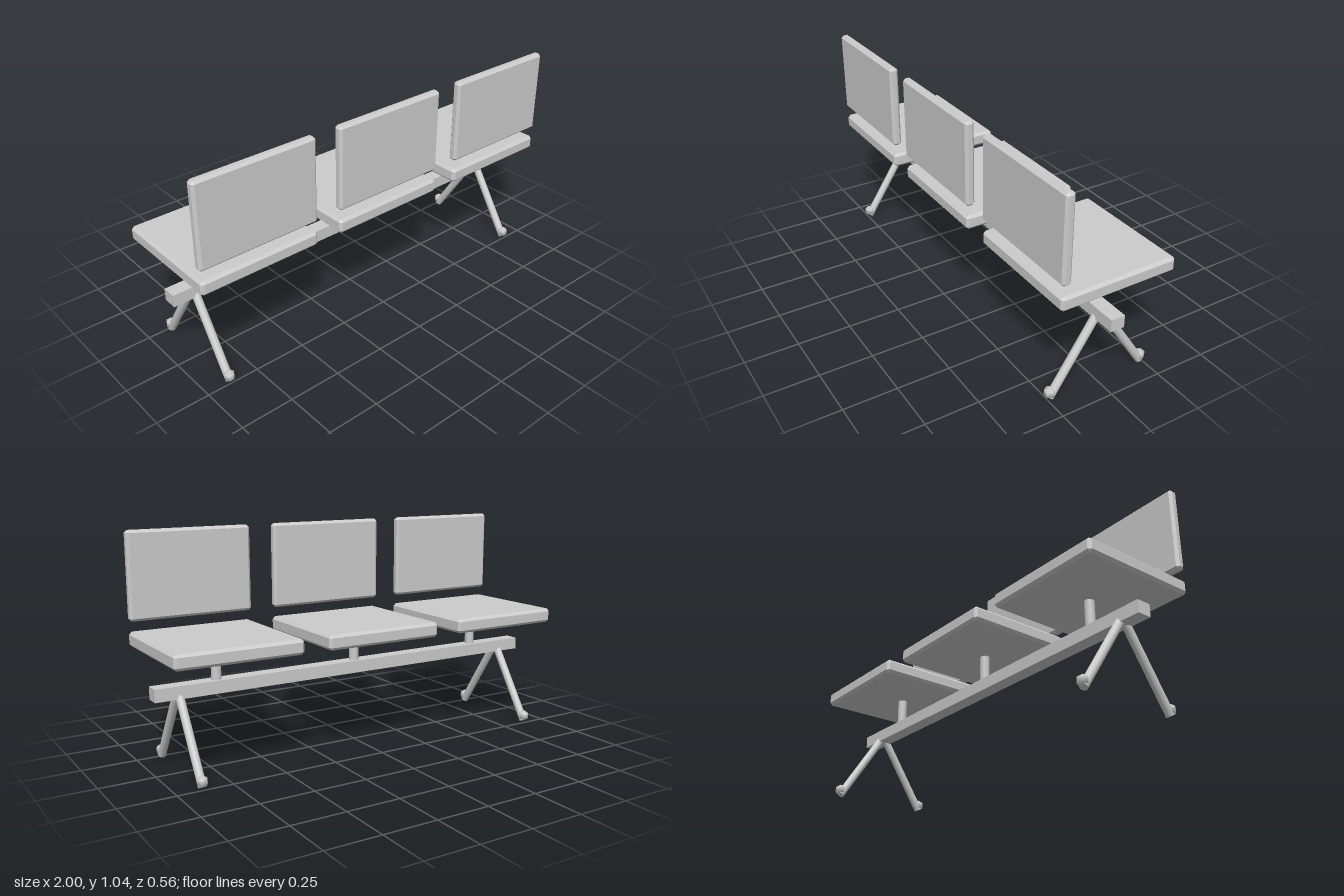
import * as THREE from 'three';
import { ConvexGeometry } from 'three/addons/geometries/ConvexGeometry.js';

const metal = new THREE.MeshStandardMaterial({ color: 0xcccccc });
metal.name = 'light grey';

// Box with every edge and corner chamfered by c
function chamferBox(w, h, d, c) {
  const half = [w / 2, h / 2, d / 2];
  const points = [];
  for (const sx of [-1, 1]) for (const sy of [-1, 1]) for (const sz of [-1, 1]) {
    for (let full = 0; full < 3; full++) {
      const p = half.map((v, i) => (i === full ? v : v - c));
      points.push(new THREE.Vector3(p[0] * sx, p[1] * sy, p[2] * sz));
    }
  }
  return new ConvexGeometry(points);
}

// Round bar between two points
function bar(a, b, radius) {
  const dir = b.clone().sub(a);
  const geometry = new THREE.CylinderGeometry(radius, radius, dir.length(), 20);
  geometry.applyQuaternion(new THREE.Quaternion().setFromUnitVectors(new THREE.Vector3(0, 1, 0), dir.normalize()));
  const mid = a.clone().add(b).multiplyScalar(0.5);
  return geometry.translate(mid.x, mid.y, mid.z);
}

export function createModel() {
  const model = new THREE.Group();
  model.name = 'beamBench';
  const add = (name, geometry, x, y, z) => {
    const mesh = new THREE.Mesh(geometry, metal);
    mesh.name = name;
    mesh.position.set(x, y, z);
    model.add(mesh);
  };

  // Long beam carrying the seats
  add('beam', new THREE.BoxGeometry(2, 0.058, 0.068), 0, 0.366, 0);

  // Three places: seat, floating backrest and post
  const seat = chamferBox(0.585, 0.069, 0.562, 0.013);
  const backrest = chamferBox(0.585, 0.4, 0.044, 0.012);
  const post = new THREE.CylinderGeometry(0.0225, 0.0225, 0.14, 20);
  for (const x of [-0.7075, 0, 0.7075]) {
    add('seat', seat, x, 0.5555, 0);
    add('backrest', backrest, x, 0.837, 0.26);
    add('post', post, x, 0.46, 0);
  }

  // Splayed leg pairs with faceted feet
  const foot = new THREE.SphereGeometry(0.028, 6, 3);
  for (const x of [-0.885, 0.885]) {
    for (const s of [-1, 1]) {
      const leg = bar(new THREE.Vector3(0, 0.0105, 0.238 * s), new THREE.Vector3(0, 0.355, 0.012 * s), 0.019);
      add('leg', leg, x, 0, 0);
      add('foot', foot, x, 0.035, 0.238 * s);
    }
  }
  return model;
}
